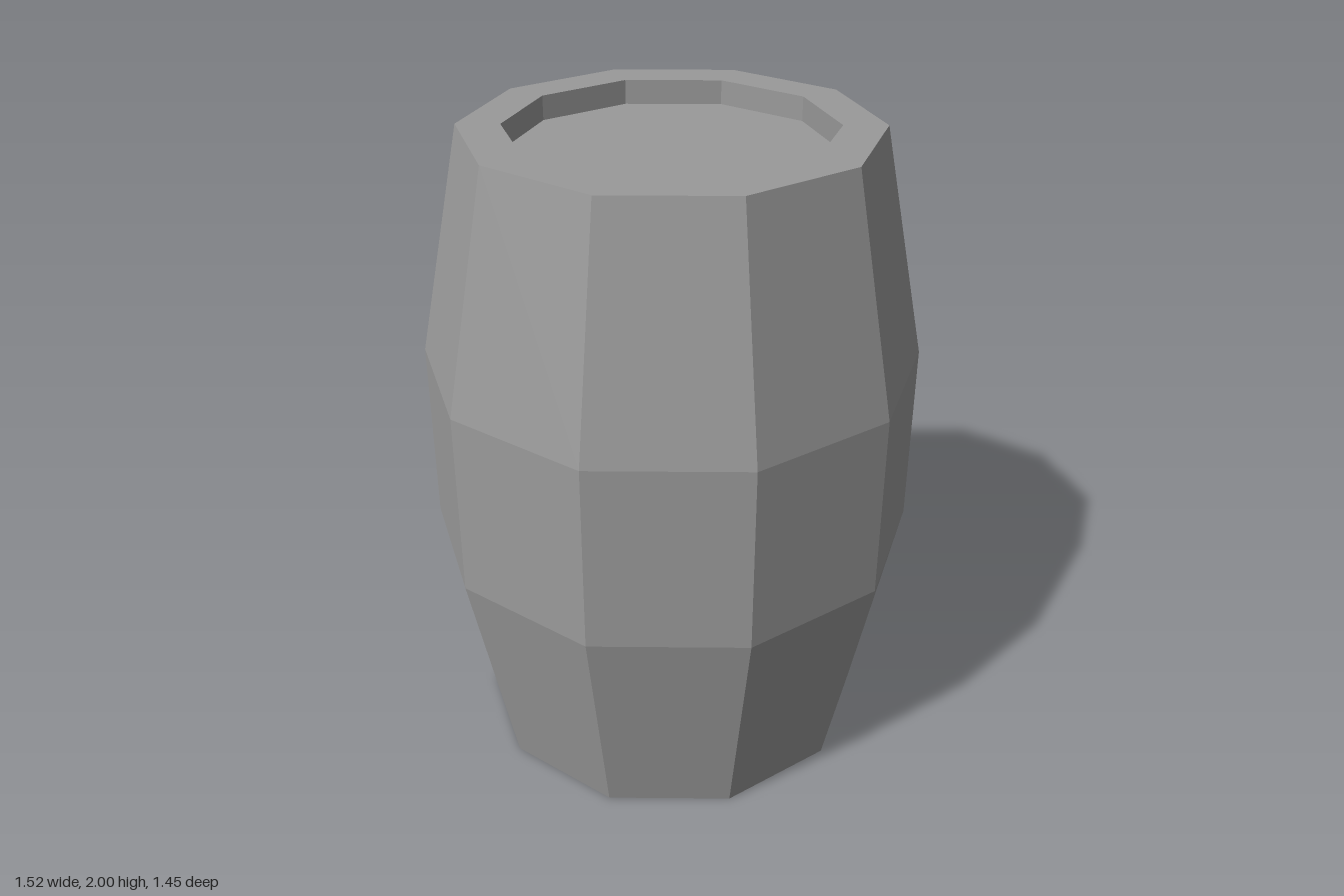
import * as THREE from 'three';

const SIDES = 10;
const HEIGHT = 2;
const RIM_R = 0.615;
const BELLY_R = 0.76;
const HEAD_R = 0.485;
const RECESS = 0.075;

export function createModel() {
  const barrel = new THREE.Group();
  barrel.name = 'barrel';
  const material = new THREE.MeshStandardMaterial({ color: 0x9a9a9a, flatShading: true });

  // Staves: recess wall, rim, bulging side, rim and recess wall, from bottom to top
  const profile = [
    [HEAD_R, RECESS],
    [HEAD_R, 0],
    [RIM_R, 0],
    [BELLY_R, 0.71],
    [BELLY_R, 1.29],
    [RIM_R, HEIGHT],
    [HEAD_R, HEIGHT],
    [HEAD_R, HEIGHT - RECESS],
  ].map(([r, y]) => new THREE.Vector2(r, y));
  const staves = new THREE.Mesh(new THREE.LatheGeometry(profile, SIDES, Math.PI / 2), material);
  staves.name = 'staves';
  barrel.add(staves);

  // Sunken heads closing both ends
  for (const [name, y, tilt] of [
    ['topHead', HEIGHT - RECESS, -Math.PI / 2],
    ['bottomHead', RECESS, Math.PI / 2],
  ]) {
    const head = new THREE.Mesh(new THREE.CircleGeometry(HEAD_R, SIDES), material);
    head.name = name;
    head.rotation.x = tilt;
    head.position.y = y;
    barrel.add(head);
  }

  return barrel;
}
